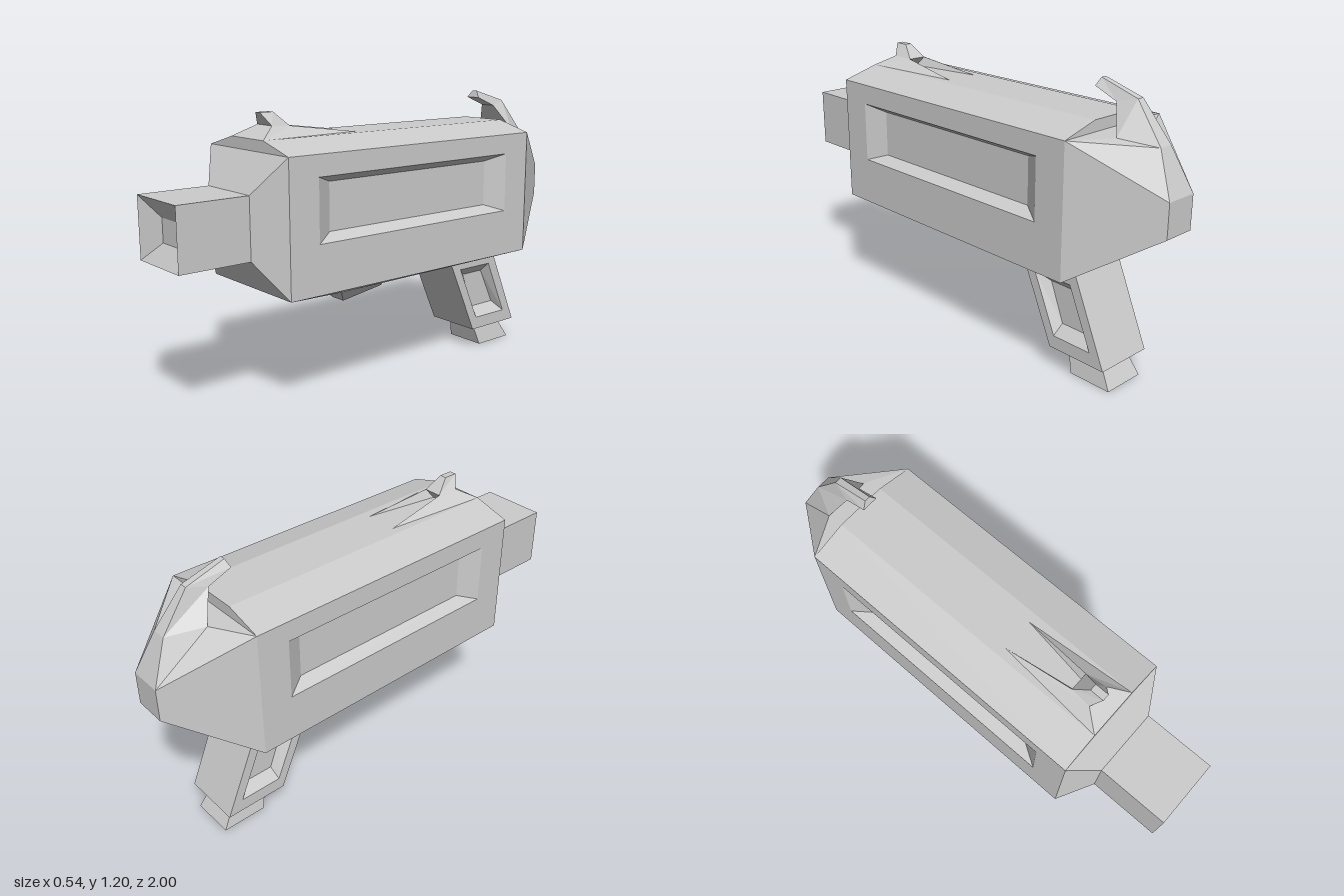
import * as THREE from 'three';

const material = new THREE.MeshStandardMaterial({ color: 0xcccccc, flatShading: true });

// Skins matching rings of corners (counter-clockwise from outside); the last ring is closed with a cap.
function loft(rings, cap = true) {
  const out = [];
  const face = (p) => {
    for (let i = 1; i < p.length - 1; i++) out.push(...p[0], ...p[i], ...p[i + 1]);
  };
  for (let r = 0; r < rings.length - 1; r++) {
    const a = rings[r], b = rings[r + 1];
    a.forEach((_, i) => {
      const j = (i + 1) % a.length;
      face([a[i], a[j], b[j], b[i]]);
    });
  }
  if (cap) face(rings[rings.length - 1]);
  return out;
}

const flip = ([x, y, z]) => [-x, y, z];
const mirrored = (rings) => rings.map((r) => r.map(flip).reverse());
const bothSides = (rings) => [...loft(rings), ...loft(mirrored(rings))];
// Four corners spanning the width from pair a to pair b
const span = (a, b) => [flip(a), a, b, flip(b)];

// Rectangle facing +z
const frontRect = (x, y0, y1, z) => span([x, y0, z], [x, y1, z]);
// Four [z, y] corners placed on the +x side
const sideRing = (x, zy) => zy.map(([z, y]) => [x, y, z]);

function createModel() {
  const group = new THREE.Group();
  const add = (name, ...parts) => {
    const geometry = new THREE.BufferGeometry();
    geometry.setAttribute('position', new THREE.Float32BufferAttribute(parts.flat(), 3));
    geometry.computeVertexNormals();
    const mesh = new THREE.Mesh(geometry, material);
    mesh.name = name;
    group.add(mesh);
  };

  // Flared front and square barrel with a tapered bore
  add('barrel', loft([
    frontRect(0.27, 0.485, 1.025, 0.61),
    frontRect(0.145, 0.63, 0.88, 0.70),
    frontRect(0.145, 0.63, 0.88, 1.0),
    frontRect(0.055, 0.705, 0.80, 0.95),
  ]));

  // Body sides with long recessed panels
  add('bodySides', bothSides([
    sideRing(0.27, [[0.61, 0.485], [-0.69, 0.485], [-0.69, 1.025], [0.61, 1.025]]),
    sideRing(0.27, [[0.475, 0.685], [-0.555, 0.685], [-0.555, 0.94], [0.475, 0.94]]),
    sideRing(0.22, [[0.39, 0.715], [-0.47, 0.715], [-0.47, 0.91], [0.39, 0.91]]),
  ]));

  // Bevelled top cover, closed at both ends
  const cover = (z) => span([0.27, 1.025, z], [0.11, 1.07, z]);
  add('topCover', loft([cover(-0.69), cover(0.61)]), loft([cover(-0.69).reverse()]));

  // Sloping belly and the small nub below it
  add('belly', loft([
    span([0.27, 0.485, -0.69], [0.27, 0.485, 0.61]),
    span([0.13, 0.465, -0.64], [0.11, 0.42, 0.24]),
  ]));
  add('bellyNub', loft([
    span([0.10, 0.435, 0.0], [0.10, 0.42, 0.24]),
    span([0.035, 0.385, -0.03], [0.035, 0.355, 0.18]),
  ]));

  // Tapered rear end
  const topEdge = [0.27, 1.025, -0.69], lowEdge = [0.27, 0.485, -0.69];
  const tailTop = [0.07, 0.83, -1], tailLow = [0.07, 0.69, -1];
  const hookBack = [0.03, 1.0, -0.92], hookFoot = [0.10, 1.02, -0.78];
  add('rearEnd',
    bothSides([[lowEdge, tailLow, tailTop, topEdge]]),
    bothSides([[topEdge, tailTop, hookBack, hookFoot]]),
    loft([span(tailLow, lowEdge)]),
    loft([span(tailTop, tailLow)]),
    loft([span(hookBack, tailTop)]),
    loft([span(topEdge, hookFoot)]));

  // Forward-curving hook on the rear end
  add('rearHook', loft([
    span(hookFoot, hookBack),
    span([0.035, 1.13, -0.72], [0.015, 1.15, -0.80]),
    span([0.035, 1.17, -0.62], [0.012, 1.20, -0.63]),
  ]));

  // Front sight: two low ridges rising to a post
  const foot = [0.11, 1.07, 0.61], tail = [0.07, 1.07, 0.14], notch = [0.02, 1.07, 0.47];
  const ridge = [0.04, 1.11, 0.44], brow = [0.05, 1.115, 0.53];
  const postFront = [0.015, 1.165, 0.56], postBack = [0.015, 1.165, 0.50];
  add('frontSight',
    bothSides([[foot, tail, ridge, brow]]),
    bothSides([[brow, ridge, postBack, postFront]]),
    bothSides([[tail, notch, ridge]]),
    loft([span(foot, brow)]),
    loft([span(brow, postFront)]),
    loft([span(postFront, postBack)]),
    loft([span(postBack, ridge)]),
    loft([span(ridge, notch)]));

  // Slanted grip with recessed side panels
  const gripFT = [0.13, 0.47, -0.355], gripRT = [0.13, 0.47, -0.635];
  const gripFB = [0.13, 0.10, -0.52], gripRB = [0.13, 0.10, -0.795];
  add('grip',
    bothSides([
      [gripFB, gripRB, gripRT, gripFT],
      sideRing(0.13, [[-0.54, 0.155], [-0.725, 0.155], [-0.615, 0.405], [-0.43, 0.405]]),
      sideRing(0.09, [[-0.55, 0.20], [-0.685, 0.20], [-0.605, 0.365], [-0.485, 0.365]]),
    ]),
    loft([span(gripFB, gripFT)]),
    loft([span(gripRT, gripRB)]),
    loft([span(gripRB, gripFB)]));

  // Flared foot under the grip
  add('gripFoot', loft([
    span([0.075, 0.10, -0.74], [0.075, 0.10, -0.575]),
    span([0.095, 0, -0.80], [0.095, 0, -0.605]),
  ]));

  return group;
}

export { createModel };
